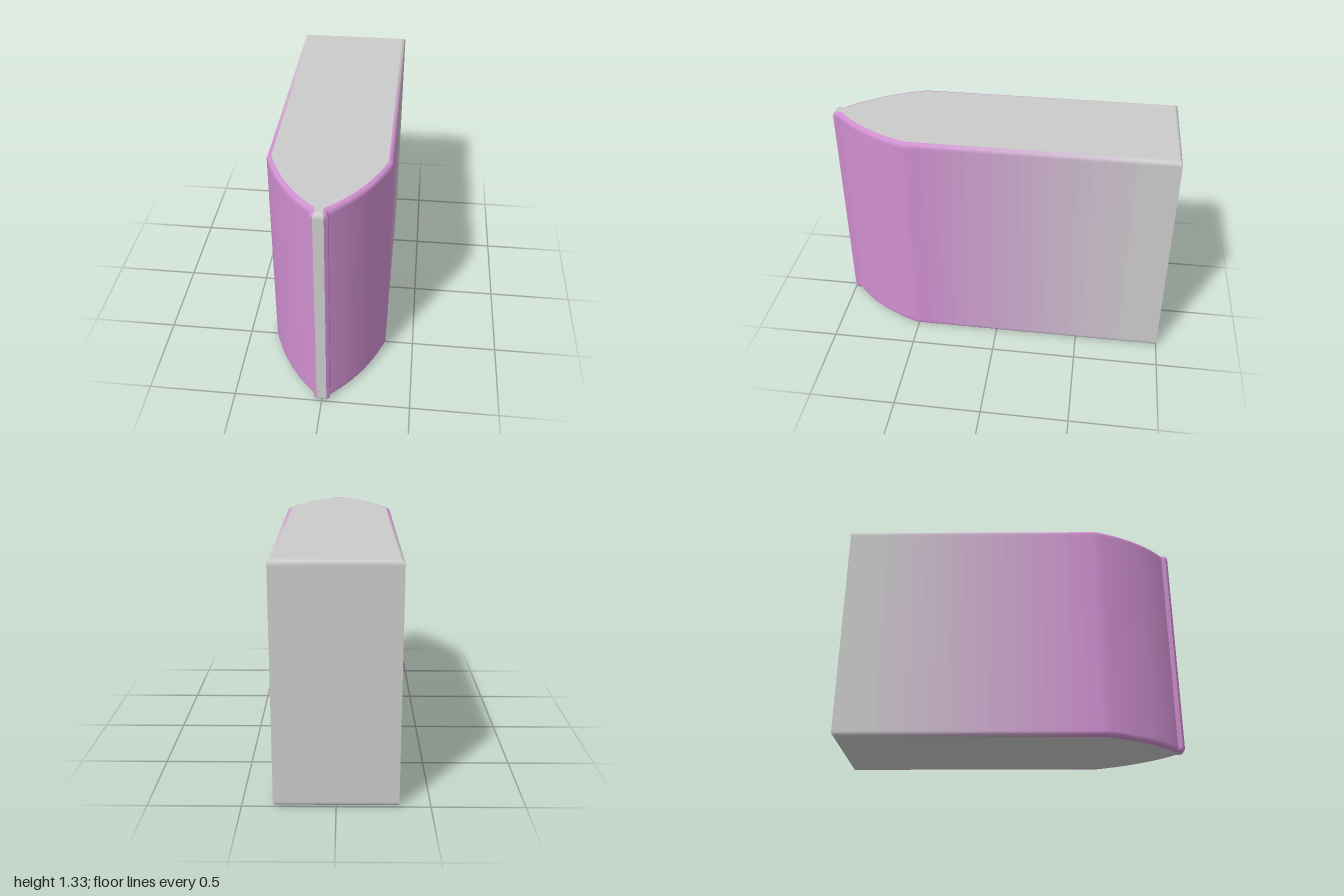
import * as THREE from 'three';
import { toCreasedNormals } from 'three/addons/utils/BufferGeometryUtils.js';

const HEIGHT = 1.33, BEVEL = 0.025, BEVEL_STEPS = 6;
const GREY = new THREE.Color(0xcccccc), PURPLE = new THREE.Color(0xd08fd0);
const V = (x, z) => new THREE.Vector2(x, z);

// Plan outline (x, z), counterclockwise from above: nose, curved cheek, straight flank, then mirrored
function planOutline() {
  const cheek = new THREE.QuadraticBezierCurve(V(0.047, 0.958), V(0.238, 0.79), V(0.333, 0.515));
  const half = [V(0.028, 1), V(0.046, 0.985), ...cheek.getPoints(14)];
  const bands = 20;
  for (let i = 0; i < bands; i++) half.push(V(0.333, 0.49 - (1.49 * i) / (bands - 1)));
  return [...half, ...half.map(p => V(-p.x, p.y)).reverse()];
}

// Move every outline point inwards by d along its mitred normal
function inset(points, d) {
  const n = points.length;
  const normal = (a, b) => V(a.y - b.y, b.x - a.x).normalize();
  return points.map((p, i) => {
    const n1 = normal(points[(i + n - 1) % n], p), n2 = normal(p, points[(i + 1) % n]);
    const m = n1.clone().add(n2);
    return p.clone().addScaledVector(m, -d / (1 + n1.dot(n2)));
  });
}

// Stacked rings with rounded upper and lower edges, one material per vertical band
function makeWalls(outline) {
  const rows = [];
  for (let i = 0; i <= BEVEL_STEPS; i++) {
    const a = (i / BEVEL_STEPS) * Math.PI / 2;
    rows.push([BEVEL * (1 - Math.sin(a)), BEVEL * (1 - Math.cos(a))]);
  }
  rows.push([0, BEVEL + 0.01]);
  rows.push(...rows.map(([d, y]) => [d, HEIGHT - y]).reverse());

  const n = outline.length, positions = [], index = [], materials = [];
  const geometry = new THREE.BufferGeometry();
  for (const [d, y] of rows) for (const p of inset(outline, d)) positions.push(p.x, y, p.y);

  for (let i = 0; i < n; i++) {
    const j = (i + 1) % n, start = index.length;
    for (let r = 0; r < rows.length - 1; r++) {
      const a = r * n + i, b = r * n + j;
      index.push(a, b, b + n, a, b + n, a + n);
    }
    geometry.addGroup(start, index.length - start, i);

    // Purple at the front fades to grey at the back; the nose strip stays grey
    const z = (outline[i].y + outline[j].y) / 2;
    const fade = i === n - 1 ? 0 : THREE.MathUtils.clamp((z + 0.9) / 1.35, 0, 1);
    materials.push(new THREE.MeshStandardMaterial({ color: GREY.clone().lerp(PURPLE, fade) }));
  }
  geometry.setAttribute('position', new THREE.Float32BufferAttribute(positions, 3));
  geometry.setIndex(index);
  const walls = new THREE.Mesh(toCreasedNormals(geometry, 0.6), materials);
  walls.name = 'walls';
  return walls;
}

// Flat face closing the walls; side is 1 for the top, -1 for the bottom
function makeCap(outline, side) {
  const shape = new THREE.Shape(inset(outline, BEVEL).map(p => V(p.x, -side * p.y)));
  const geometry = new THREE.ShapeGeometry(shape).rotateX(-side * Math.PI / 2);
  const cap = new THREE.Mesh(geometry, new THREE.MeshStandardMaterial({ color: 0xcccccc }));
  cap.position.y = side > 0 ? HEIGHT : 0;
  cap.name = side > 0 ? 'topFace' : 'bottomFace';
  return cap;
}

export function createModel() {
  const group = new THREE.Group();
  group.name = 'pointedBlock';
  const outline = planOutline();
  group.add(makeWalls(outline), makeCap(outline, 1), makeCap(outline, -1));
  return group;
}
